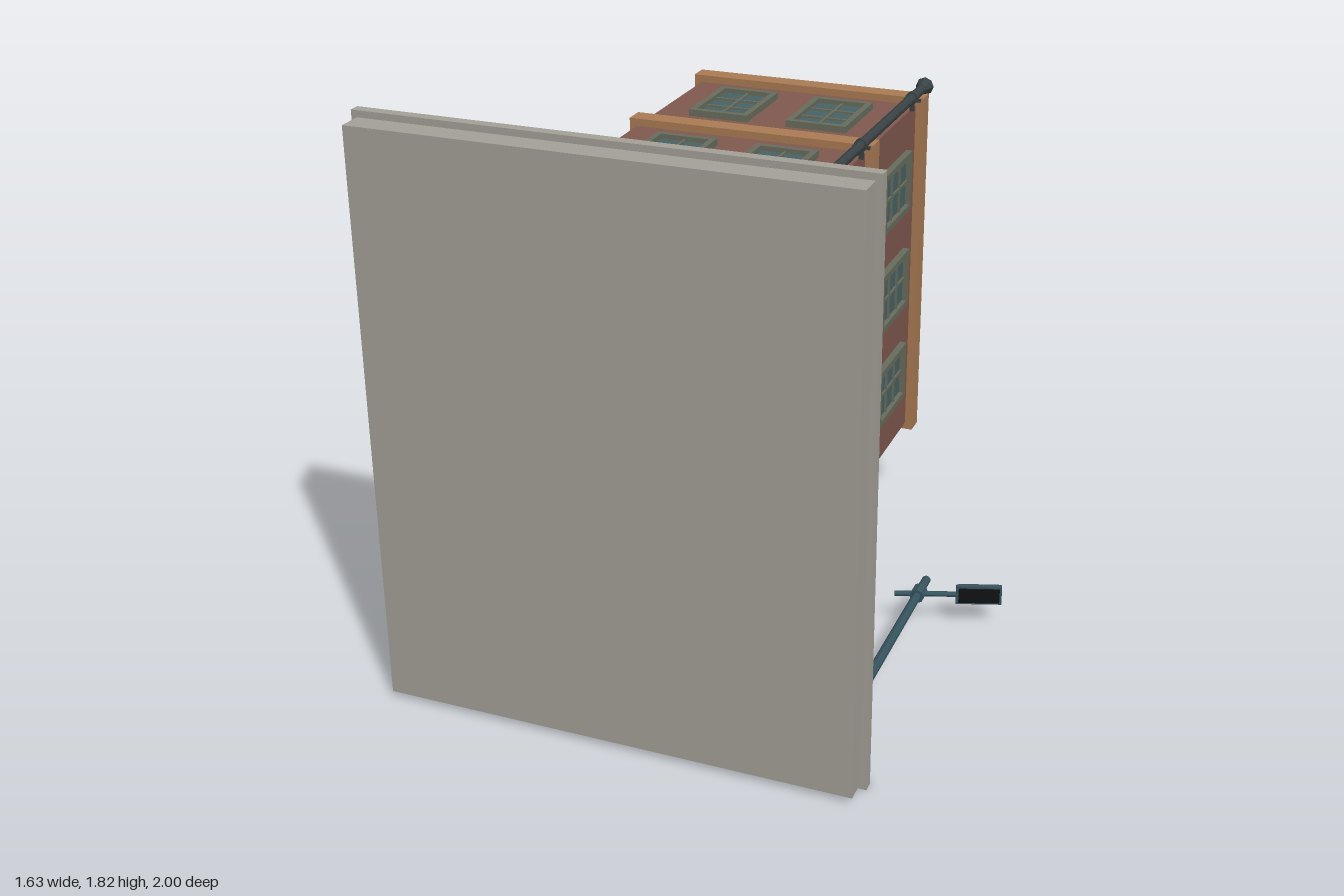
import * as THREE from 'three';

const mat = (color) => new THREE.MeshStandardMaterial({ color, flatShading: true });
const M = {
  brick: mat(0x825a50), trim: mat(0xab7d55), roof: mat(0x94704f), stone: mat(0xa6a399), paving: mat(0x9d9a92),
  frame: mat(0x686e5e), glass: mat(0x4a6466), pipe: mat(0x394345), lamp: mat(0x36555f), black: mat(0x101214),
  leaf: mat(0x4a6b2a), pot: mat(0x7d5238), unit: mat(0xb4b6b6),
};

// The tower is modelled upright (Y up) and tipped over at the end.
const CX = -0.095, CZ = 0.918, HW = 0.38, HD = 0.58;

function add(parent, name, geo, material, x = 0, y = 0, z = 0) {
  const m = new THREE.Mesh(geo, material);
  m.name = name;
  m.position.set(x, y, z);
  parent.add(m);
  return m;
}
const box = (parent, name, material, w, h, d, x, y, z) =>
  add(parent, name, new THREE.BoxGeometry(w, h, d), material, x, y, z);
const cyl = (parent, name, material, r, h, x, y, z, r2 = r, n = 10) =>
  add(parent, name, new THREE.CylinderGeometry(r2, r, h, n), material, x, y, z);

function group(parent, name, x = 0, y = 0, z = 0, turn = 0) {
  const g = new THREE.Group();
  g.name = name;
  g.position.set(x, y, z);
  g.rotation.y = turn;
  parent.add(g);
  return g;
}

// Rectangular ring in XY, extruded along +Z
function ring(w, h, t, depth) {
  const rect = (P, a, b) => new P([[-a, -b], [a, -b], [a, b], [-a, b]].map(p => new THREE.Vector2(...p)));
  const s = rect(THREE.Shape, w / 2, h / 2);
  s.holes.push(rect(THREE.Path, w / 2 - t, h / 2 - t));
  return new THREE.ExtrudeGeometry(s, { depth, bevelEnabled: false });
}

// Horizontal ring standing on height y
function flatRing(parent, name, material, w, d, t, h, x, y, z) {
  add(parent, name, ring(w, d, t, h), material, x, y, z).rotation.x = -Math.PI / 2;
}

// Window facing local +Z
function addWindow(parent, x, y, z, turn) {
  const g = group(parent, 'window', x, y, z, turn);
  add(g, 'windowFrame', ring(0.2, 0.285, 0.02, 0.022), M.frame);
  box(g, 'windowPane', M.glass, 0.17, 0.255, 0.008, 0, 0, 0.003);
  box(g, 'mullion', M.frame, 0.009, 0.25, 0.014, 0, 0, 0.006);
  for (const t of [-0.042, 0.042]) box(g, 'glazingBar', M.frame, 0.165, 0.009, 0.014, 0, t, 0.006);
}

// Uneven leafy lump: vertices pushed around by their position
function foliage(parent, name, geo, x, y, z) {
  const p = geo.attributes.position;
  for (let i = 0; i < p.count; i++) {
    const a = p.getX(i), b = p.getY(i), c = p.getZ(i);
    p.setXYZ(i, a + 0.005 * Math.sin(70 * b + 50 * c + x * 9), b + 0.005 * Math.sin(60 * a + 45 * c + z * 9),
      c + 0.005 * Math.sin(65 * b + 55 * a));
  }
  geo.computeVertexNormals();
  return add(parent, name, geo, M.leaf, x, y, z);
}

function addHedge(parent, x, z, length, turn) {
  const g = group(parent, 'hedgePlanter', x, 1.775, z, turn);
  box(g, 'planter', M.pot, length + 0.03, 0.045, 0.11, 0, 0.02, 0);
  foliage(g, 'hedge', new THREE.BoxGeometry(length, 0.11, 0.08, 5, 3, 2), 0, 0.085, 0);
}

function addBush(parent, x, y, z, r, tall) {
  const g = group(parent, 'bushPot', x, y, z);
  cyl(g, 'pot', M.pot, r * 0.6, 0.045, 0, 0.0225, 0, r * 0.8, 8);
  const b = foliage(g, 'bush', new THREE.IcosahedronGeometry(r, 1), 0, 0.035 + r * tall, 0);
  b.scale.y = tall;
}

// Downpipe whose wall lies toward local -Z; its foot kicks toward local +X
function addDownpipe(parent, x, z, gap, turn) {
  const g = group(parent, 'downpipe', x, 0, z, turn);
  cyl(g, 'pipe', M.pipe, 0.016, 1.49, 0, 1.005, 0);
  const path = new THREE.CatmullRomCurve3([[0, 0.27], [0.004, 0.24], [0.022, 0.21], [0.045, 0.185]]
    .map(p => new THREE.Vector3(p[0], p[1], 0)));
  const foot = add(g, 'pipeFoot', new THREE.TubeGeometry(path, 6, 0.016, 10), M.pipe.clone());
  foot.material.side = THREE.DoubleSide;
  cyl(g, 'rainHead', M.pipe, 0.018, 0.045, 0, 1.752, 0, 0.03, 8);
  for (const y of [0.28, 0.565, 1.1, 1.63]) {
    cyl(g, 'pipeCollar', M.pipe, 0.021, 0.018, 0, y, 0);
    box(g, 'pipeClip', M.pipe, 0.014, 0.012, gap, 0, y, -gap / 2);
    box(g, 'pipeClipBar', M.pipe, 0.055, 0.01, 0.01, 0, y, -0.008);
  }
}

// Cooling unit facing local +Z
function addCoolingUnit(parent, y, z) {
  const g = group(parent, 'coolingUnit', -0.558, y, z, -Math.PI / 2);
  box(g, 'unitCase', M.unit, 0.17, 0.125, 0.08, 0, 0, 0);
  add(g, 'fanRing', new THREE.TorusGeometry(0.043, 0.005, 6, 16), M.unit, 0.02, 0, 0.041);
  cyl(g, 'fanOpening', M.black, 0.041, 0.004, 0.02, 0, 0.04, 0.041, 16).rotation.x = Math.PI / 2;
  for (let i = 0; i < 4; i++) box(g, 'fanBlade', M.unit, 0.07, 0.01, 0.004, 0.02, 0, 0.042).rotation.z = i * Math.PI / 4;
  for (const s of [-0.055, 0.055]) {
    box(g, 'bracketArm', M.pipe, 0.012, 0.01, 0.115, s, -0.067, -0.025);
    box(g, 'bracketPlate', M.pipe, 0.012, 0.06, 0.01, s, -0.045, -0.078);
  }
}

function addEntrance(parent) {
  const g = group(parent, 'entrance');
  const zc = 0.93;
  const frame = add(g, 'doorFrame', ring(0.235, 0.385, 0.03, 0.05), M.trim, 0.275, 0.308, zc);
  frame.rotation.y = Math.PI / 2;
  box(g, 'door', M.frame, 0.03, 0.34, 0.18, 0.285, 0.31, zc);
  box(g, 'doorHandle', M.black, 0.025, 0.012, 0.035, 0.31, 0.255, zc + 0.045);
  // Sloping cheek walls beside the steps
  const cheek = new THREE.Shape([[0.28, 0.1], [0.44, 0.1], [0.44, 0.15], [0.37, 0.22], [0.28, 0.22]]
    .map(p => new THREE.Vector2(...p)));
  for (const z of [0.77, 1.037])
    add(g, 'stepCheek', new THREE.ExtrudeGeometry(cheek, { depth: 0.048, bevelEnabled: false }), M.trim, 0, 0, z);
  box(g, 'lowerStep', M.trim, 0.13, 0.03, 0.23, 0.355, 0.115, zc);
  box(g, 'upperStep', M.trim, 0.08, 0.05, 0.23, 0.33, 0.125, zc);
  addBush(g, 0.395, 0.105, 0.70, 0.042, 1);
}

function addStreetLamp(parent) {
  const g = group(parent, 'streetLamp', 0.56, 0, 0.115);
  cyl(g, 'lampPole', M.lamp, 0.016, 0.945, 0, 0.5775, 0, 0.014);
  cyl(g, 'poleCollar', M.lamp, 0.024, 0.045, 0, 0.96, 0, 0.024, 8);
  const arm = group(g, 'lampArm', 0, 0.957, 0);
  arm.rotation.z = 0.33;
  cyl(arm, 'armRod', M.lamp, 0.009, 0.22, 0.035, 0, 0, 0.009, 8).rotation.z = Math.PI / 2;
  box(arm, 'lampHead', M.lamp, 0.13, 0.028, 0.05, 0.193, 0.008, 0);
  box(arm, 'headRim', M.lamp, 0.145, 0.014, 0.064, 0.193, 0, 0);
  box(arm, 'lampLens', M.black, 0.13, 0.008, 0.05, 0.193, -0.008, 0);
}

export function createModel() {
  const model = new THREE.Group();
  model.name = 'apartmentBlock';
  const t = group(model, 'uprightScene', 0, 0, 1);
  t.rotation.x = -Math.PI / 2;

  // Pavement slab with a raised kerb
  box(t, 'slabBase', M.stone, 1.46, 0.075, 1.78, -0.072, 0.0375, 0.91);
  box(t, 'paving', M.paving, 1.42, 0.03, 1.74, -0.072, 0.085, 0.91);
  flatRing(t, 'kerb', M.stone, 1.495, 1.82, 0.045, 0.033, -0.072, 0.075, 0.91);

  // Walls and storey bands
  box(t, 'brickWalls', M.brick, 2 * HW, 1.65, 2 * HD, CX, 0.925, CZ);
  for (const [y0, y1] of [[0.1, 0.153], [0.62, 0.69], [1.155, 1.22], [1.69, 1.755]])
    box(t, 'storeyBand', M.trim, 0.81, y1 - y0, 1.208, CX, (y0 + y1) / 2, CZ);

  // Parapet and roof deck
  flatRing(t, 'parapet', M.trim, 0.755, 1.145, 0.045, 0.075, CX, 1.755, CZ);
  box(t, 'roofDeck', M.roof, 0.67, 0.02, 1.06, CX, 1.765, CZ);

  // Windows on every storey and side, leaving out the doorway
  [0.39, 0.92, 1.455].forEach((y, storey) => {
    for (const x of [-0.262, 0.068]) {
      addWindow(t, x, y, CZ + HD, 0);
      addWindow(t, x, y, CZ - HD, Math.PI);
    }
    [0.588, 0.93, 1.272].forEach((z, i) => {
      addWindow(t, CX - HW, y, z, -Math.PI / 2);
      if (storey || i !== 1) addWindow(t, CX + HW, y, z, Math.PI / 2);
    });
  });

  addEntrance(t);
  addDownpipe(t, 0.29, 1.54, 0.045, 0);
  addDownpipe(t, -0.535, 0.345, 0.06, -Math.PI / 2);
  t.children.at(-1).scale.x = -1;

  for (const [y, z] of [[1.24, 1.11], [0.71, 0.73], [0.16, 1.09]]) addCoolingUnit(t, y, z);

  // Meter box beside the entrance
  const meter = group(t, 'meterBox', 0.295, 0.535, 0.42, Math.PI / 2);
  box(meter, 'meterCase', M.unit, 0.065, 0.075, 0.03, 0, 0, 0);
  box(meter, 'meterDial', M.black, 0.032, 0.022, 0.004, 0, 0.012, 0.015);

  // Roof garden
  addHedge(t, -0.12, 1.37, 0.25, 0);
  addHedge(t, -0.335, 1.205, 0.21, Math.PI / 2);
  addHedge(t, -0.335, 0.91, 0.23, Math.PI / 2);
  addHedge(t, -0.23, 0.5, 0.24, 0);
  addBush(t, 0.14, 1.775, 1.33, 0.055, 1.15);
  addBush(t, 0.112, 1.775, 0.495, 0.068, 1.38);

  addStreetLamp(t);
  return model;
}
